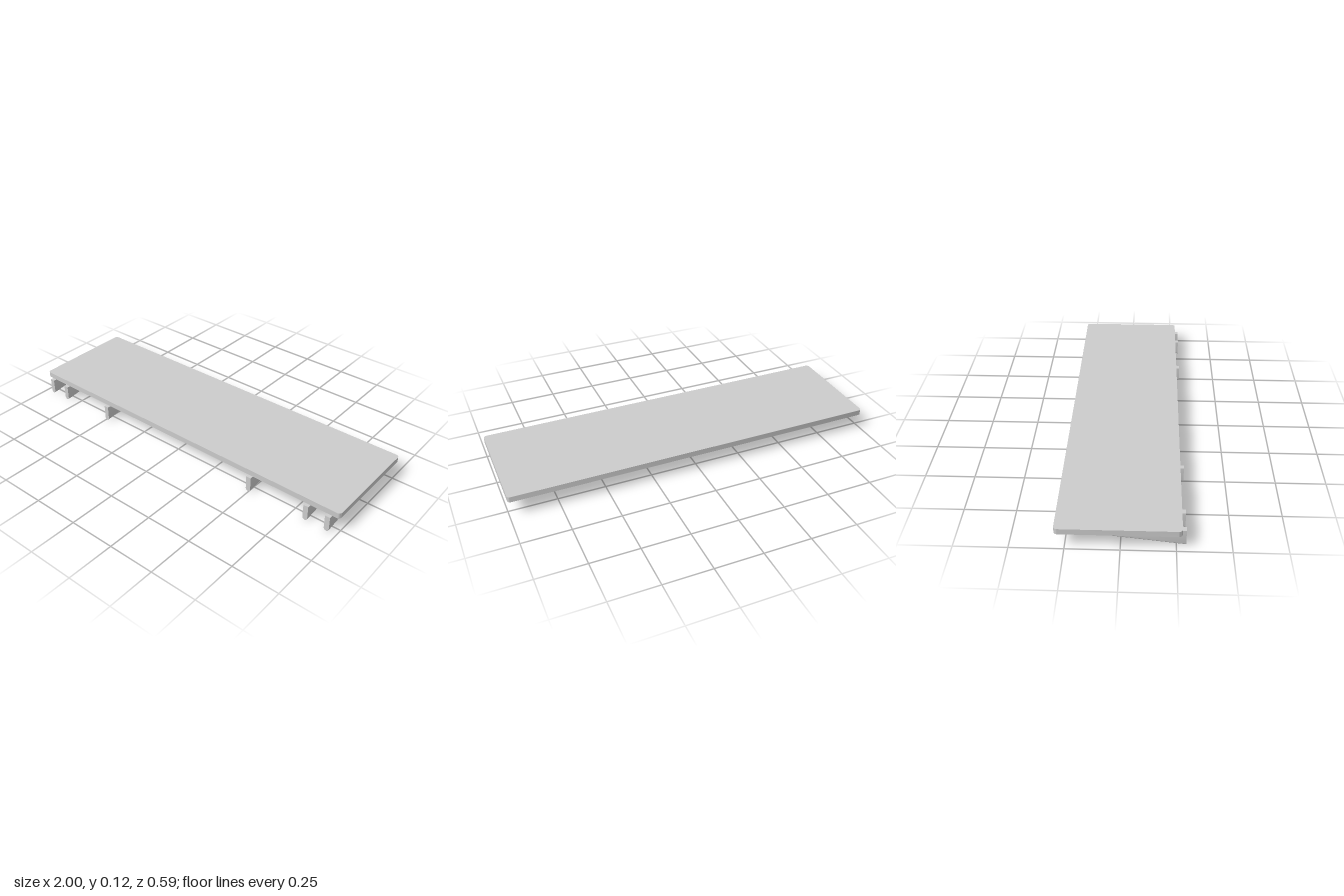
import * as THREE from 'three';
import { toCreasedNormals } from 'three/addons/utils/BufferGeometryUtils.js';

const BOARD_BOTTOM = 0.085, BOARD_TOP = 0.115;
const FRONT = 0.275, BACK = -0.294;

// Flat slab with rounded vertical corners
function boardGeometry() {
  const r = 0.018, w = 1, lo = -FRONT, hi = -BACK;
  const s = new THREE.Shape();
  s.moveTo(-w + r, lo);
  s.absarc(w - r, lo + r, r, -Math.PI / 2, 0);
  s.absarc(w - r, hi - r, r, 0, Math.PI / 2);
  s.absarc(-w + r, hi - r, r, Math.PI / 2, Math.PI);
  s.absarc(-w + r, lo + r, r, Math.PI, Math.PI * 1.5);
  const g = new THREE.ExtrudeGeometry(s, { depth: BOARD_TOP - BOARD_BOTTOM, bevelEnabled: false, curveSegments: 8 });
  g.rotateX(-Math.PI / 2);
  g.translate(0, BOARD_BOTTOM, 0);
  return toCreasedNormals(g, 0.6);
}

// Tapered rib: U-shaped section, flat at the front, ball-shaped nose at the back
function ribGeometry() {
  const r = 0.0135, arc = 12, nose = 8;
  const zFront = 0.294, zNose = -0.1935;
  const stations = [{ z: zFront, y: r, w: r }];
  for (let i = 0; i <= nose; i++) {
    const a = (i / nose) * Math.PI / 2;
    stations.push({ z: zNose - r * Math.sin(a), y: 0.06 + r, w: r * Math.cos(a) });
  }
  const pos = [], idx = [], n = arc + 3;
  for (const { z, y, w } of stations) {
    pos.push(-w, BOARD_BOTTOM, z);
    for (let k = 0; k <= arc; k++) {
      const a = Math.PI * (1 + k / arc);
      pos.push(w * Math.cos(a), y + w * Math.sin(a), z);
    }
    pos.push(w, BOARD_BOTTOM, z);
  }
  for (let i = 0; i < stations.length - 1; i++) {
    for (let k = 0; k < n; k++) {
      const a = i * n + k, b = i * n + (k + 1) % n;
      idx.push(a, a + n, b, b, a + n, b + n);
    }
  }
  // Front end cap
  const c = pos.length / 3;
  pos.push(0, BOARD_BOTTOM / 2, zFront);
  for (let k = 0; k < n; k++) idx.push(c, k, (k + 1) % n);
  const g = new THREE.BufferGeometry();
  g.setAttribute('position', new THREE.Float32BufferAttribute(pos, 3));
  g.setIndex(idx);
  return toCreasedNormals(g, 0.6);
}

export function createModel() {
  const model = new THREE.Group();
  model.name = 'shelf';
  const material = new THREE.MeshStandardMaterial({ color: 0xcccccc });

  const board = new THREE.Mesh(boardGeometry(), material);
  board.name = 'board';
  model.add(board);

  // Three ribs under each end, mirrored
  const rib = ribGeometry();
  for (const [side, sign] of [['left', 1], ['right', -1]]) {
    [['outer', 0.947], ['middle', 0.829], ['inner', 0.495]].forEach(([place, x]) => {
      const mesh = new THREE.Mesh(rib, material);
      mesh.name = `${side} ${place} rib`;
      mesh.position.x = sign * x;
      model.add(mesh);
    });
  }
  return model;
}
